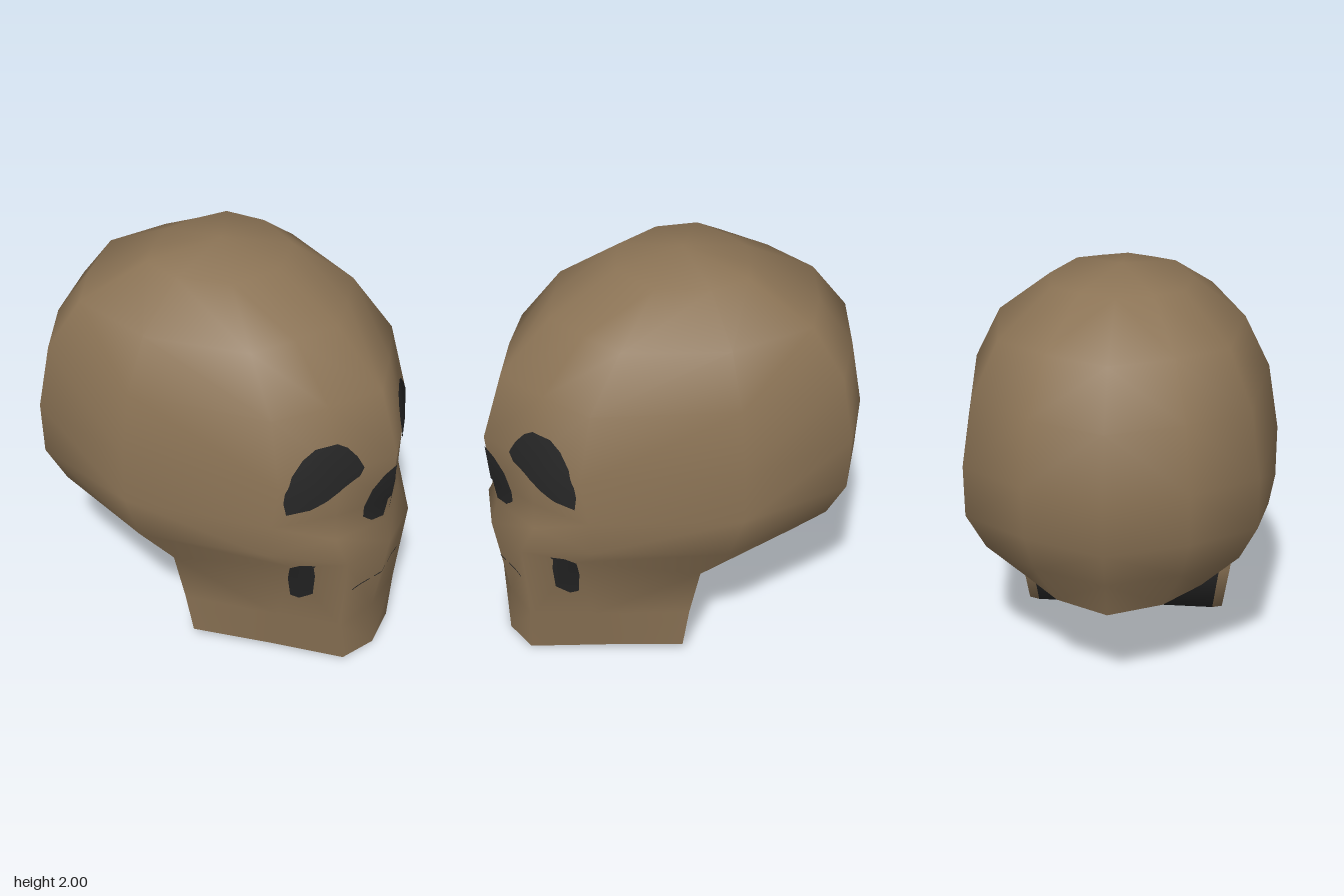
import * as THREE from 'three';

const COLS = 12; // vertices round each ring, from the back through +x to the front

// Half outline of the cranium at its widest: back, sides, brow, front
const DOME_X = [0, 0.5, 0.9, 1, 0.7, 0.36, 0];
const DOME_Z = [-0.97, -0.82, -0.62, -0.04, 0.68, 0.835, 0.97];

// One dome ring: height, half width, front z, back z
function domeRing(y, w, front, back) {
  return DOME_X.map((x, i) => {
    const d = DOME_Z[i] + 0.04;
    const z = d > 0 ? -0.04 + (d / 1.01) * (front + 0.04) : -0.04 + (d / 0.93) * (-back - 0.04);
    return [x * w, y, z];
  });
}

// Half rings from the top down; the last two exist only for the jaw
const base = [[0, 0.53, -0.78], [0.25, 0.53, -0.66], [0.42, 0.53, -0.46]];
const RINGS = [
  domeRing(1.94, 0.34, 0.29, -0.36),
  domeRing(1.755, 0.585, 0.62, -0.72),
  domeRing(1.51, 0.705, 0.87, -0.91),
  domeRing(1.19, 0.757, 0.97, -0.97),
  [...domeRing(0.93, 0.757, 0.945, -0.95).slice(0, 4),
    [0.535, 0.95, 0.645], [0.27, 0.94, 0.825], [0, 0.93, 0.945]],
  [[0, 0.74, -0.87], [0.34, 0.74, -0.75], [0.6, 0.74, -0.55], [0.73, 0.74, 0.02],
    [0.56, 0.8, 0.63], [0.27, 0.8, 0.83], [0, 0.8, 0.93]],
  [...base, [0.575, 0.53, 0.1], [0.41, 0.65, 0.67], [0.27, 0.68, 0.9], [0, 0.68, 0.965]],
  [...base, [0.545, 0.28, 0.145], [0.37, 0.27, 0.58], [0.24, 0.25, 0.86], [0, 0.24, 0.89]],
  [...base, [0.51, 0.05, 0.165], [0.35, 0.035, 0.52], [0.2, 0.015, 0.86], [0, 0, 0.905]],
];
const id = (r, k) => 1 + r * COLS + (k % COLS);

function geometryFrom(pos, index) {
  const g = new THREE.BufferGeometry();
  g.setAttribute('position', new THREE.Float32BufferAttribute(pos, 3));
  g.setIndex(index);
  g.computeVertexNormals();
  return g;
}

// Outer bone surface: cap, closed cranium rings, then the jaw strips
function outerShell() {
  const pos = [0, 2, -0.04], index = [];
  for (const ring of RINGS) {
    for (let k = 0; k < COLS; k++) {
      const [x, y, z] = ring[k <= 6 ? k : COLS - k];
      pos.push(k <= 6 ? x : -x, y, z);
    }
  }
  for (let k = 0; k < COLS; k++) index.push(0, id(0, k + 1), id(0, k));
  for (let r = 0; r < RINGS.length - 1; r++) {
    const [from, to] = r < 6 ? [0, COLS] : [3, 9];
    for (let k = from; k < to; k++) {
      const a = id(r, k), b = id(r, k + 1), c = id(r + 1, k), d = id(r + 1, k + 1);
      if (k < 6) index.push(a, b, d, a, d, c);
      else index.push(a, b, c, b, d, c);
    }
  }
  return geometryFrom(pos, index);
}

// Underside from the nape, up the back of the jaw and along to the chin:
// the outer edge of the bone and, inside it, the edge of the dark hollow
const EDGE = [...RINGS[6].slice(0, 4), RINGS[7][3], ...RINGS[8].slice(3)];
const HOLLOW = [[0, 0.53, -0.69], [0.2, 0.53, -0.58], [0.35, 0.53, -0.4], [0.515, 0.53, 0.1],
  [0.49, 0.28, 0.125], [0.46, 0.045, 0.155], [0.3, 0.028, 0.5], [0.16, 0.01, 0.79],
  [0, 0.004, 0.84]];

// Downward and backward facing strip from a +x half path to a -x one
function strip(left, right) {
  const pos = [], index = [];
  left.forEach((p, i) => pos.push(...p, ...right[i]));
  for (let i = 0; i < left.length - 1; i++) {
    const a = 2 * i;
    index.push(a, a + 2, a + 1, a + 1, a + 2, a + 3);
  }
  return geometryFrom(pos, index);
}
const mirrored = (path) => path.map(([x, y, z]) => [-x, y, z]);

// Thin patch laid on the bone: an outline filled by concentric loops
function patch(skull, outline, side, lift) {
  const pts = [];
  outline.forEach(([x, y], i) => {
    const [nx, ny] = outline[(i + 1) % outline.length];
    for (let t = 0; t < 1; t += 0.25) pts.push([x + (nx - x) * t, y + (ny - y) * t]);
  });
  const n = pts.length, loops = 6;
  const cx = pts.reduce((s, p) => s + p[0], 0) / n;
  const cy = pts.reduce((s, p) => s + p[1], 0) / n;
  const ray = new THREE.Raycaster();
  const pos = [], normals = [], index = [];
  for (let l = 0; l <= loops; l++) {
    for (const [x, y] of pts) {
      const px = side * (cx + ((x - cx) * l) / loops), py = cy + ((y - cy) * l) / loops;
      ray.set(new THREE.Vector3(px, py, 3), new THREE.Vector3(0, 0, -1));
      const hit = ray.intersectObject(skull)[0];
      const q = hit.point.addScaledVector(hit.face.normal, lift);
      pos.push(q.x, q.y, q.z);
      normals.push(...hit.normal.normalize().toArray());
    }
  }
  // Outlines run clockwise on +x, so the mirrored side needs the other order
  const turn = (a, b, c) => (side > 0 ? index.push(a, b, c) : index.push(a, c, b));
  for (let l = 0; l < loops; l++) {
    for (let i = 0; i < n; i++) {
      const a = l * n + i, b = l * n + ((i + 1) % n), c = a + n, d = b + n;
      turn(a, d, c);
      turn(a, b, d);
    }
  }
  const g = geometryFrom(pos, index);
  g.setAttribute('normal', new THREE.Float32BufferAttribute(normals, 3)); // follow the bone's shading
  return g;
}

const EYE = [[0.16, 1.19], [0.18, 1.25], [0.215, 1.305], [0.255, 1.335], [0.35, 1.335],
  [0.41, 1.3], [0.47, 1.235], [0.505, 1.16], [0.505, 1.1], [0.485, 1.02], [0.39, 1.02],
  [0.32, 1.05], [0.255, 1.1], [0.175, 1.145]];
const NOSE = [[0, 1.14], [0.05, 1.1], [0.1, 1.03], [0.135, 0.94], [0.13, 0.88], [0.08, 0.835],
  [0.02, 0.84], [0.012, 0.94], [0, 0.95]];
const CHEEK = [[0.355, 0.68], [0.4, 0.685], [0.41, 0.65], [0.4, 0.57], [0.375, 0.45],
  [0.355, 0.435], [0.335, 0.48], [0.342, 0.6]];
const bar = (x0, x1) => [[x0, 0.47], [x0, 0.477], [x1, 0.477], [x1, 0.47]];

export function createModel() {
  const bone = new THREE.MeshStandardMaterial({ color: 0x8b7355 });
  bone.name = 'bone brown';
  const dark = new THREE.MeshStandardMaterial({ color: 0x262626 });
  dark.name = 'hollow black';

  const group = new THREE.Group();
  group.name = 'skull';
  const add = (name, geometry, material) => {
    const mesh = new THREE.Mesh(geometry, material);
    mesh.name = name;
    group.add(mesh);
    return mesh;
  };

  const skull = add('craniumAndJaw', outerShell(), bone);

  // Closed underside: dark middle inside a bone rim
  add('darkUnderside', strip(HOLLOW, mirrored(HOLLOW)), dark);
  add('leftUndersideRim', strip(EDGE, HOLLOW), bone);
  add('rightUndersideRim', strip(mirrored(HOLLOW), mirrored(EDGE)), bone);

  // Sockets and hollows, mirrored left and right
  for (const [prefix, side] of [['left', 1], ['right', -1]]) {
    add(prefix + 'EyeSocket', patch(skull, EYE, side, 0.007), dark);
    add(prefix + 'Nostril', patch(skull, NOSE, side, 0.007), dark);
    add(prefix + 'CheekHollow', patch(skull, CHEEK, side, 0.007), dark);
    add(prefix + 'MouthLine', patch(skull, bar(0.08, 0.2), side, 0.002), dark);
  }
  add('middleMouthLine', patch(skull, bar(-0.05, 0.05), 1, 0.002), dark);
  return group;
}
